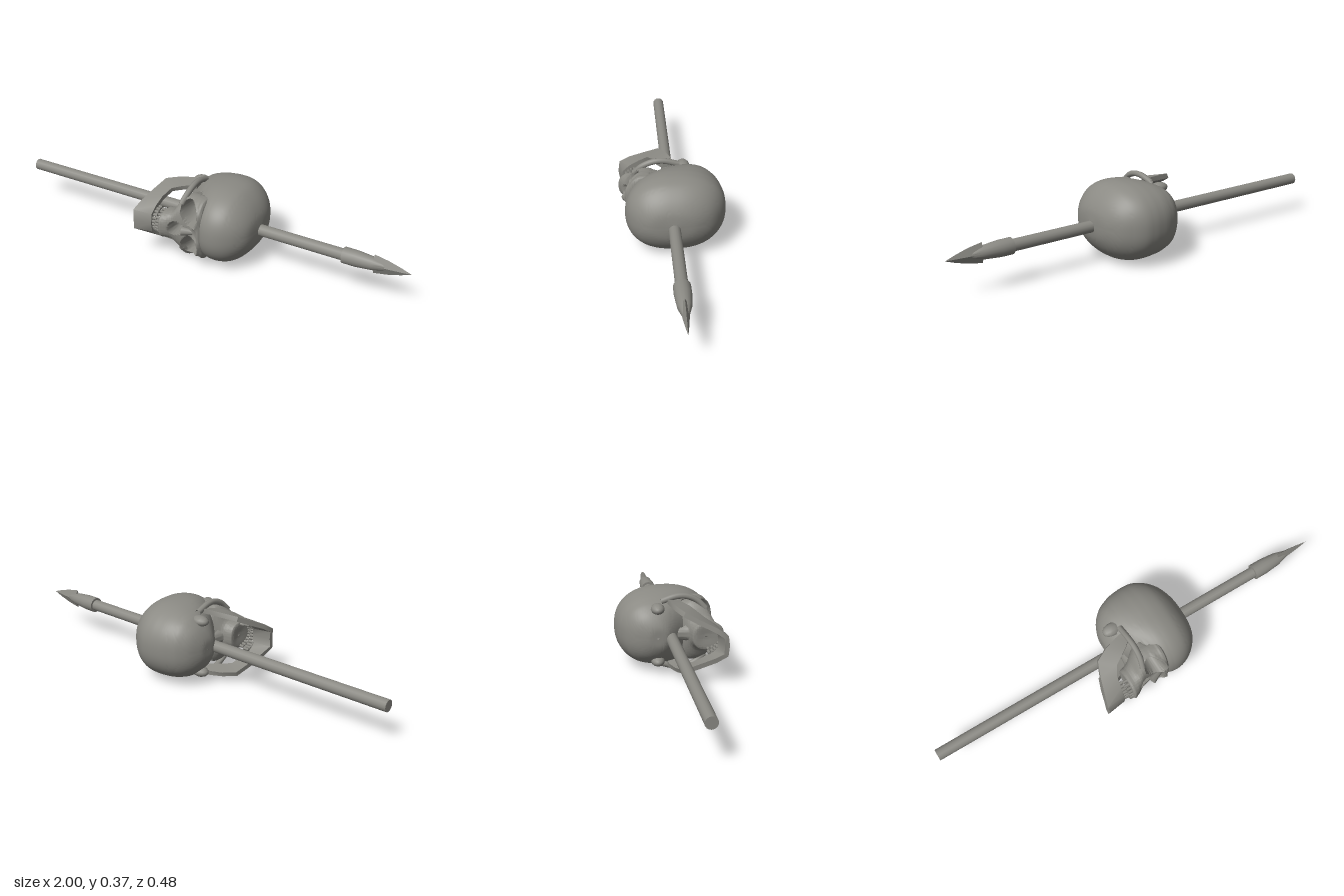
import * as THREE from 'three';
import { toCreasedNormals } from 'three/addons/utils/BufferGeometryUtils.js';

const grey = new THREE.MeshStandardMaterial({ color: 0x8b8a84, side: THREE.DoubleSide });
grey.name = 'weathered grey';

function add(parent, name, geometry) {
  const mesh = new THREE.Mesh(geometry, grey);
  mesh.name = name;
  parent.add(mesh);
  return mesh;
}

function surface(positions, index, crease) {
  const g = new THREE.BufferGeometry();
  g.setAttribute('position', new THREE.Float32BufferAttribute(positions, 3));
  g.setIndex(index);
  g.computeVertexNormals();
  return toCreasedNormals(g, crease);
}

// Smooth loft through rings [height, back z, front z, half width], then a deform rule
function loft(keys, power, rows, cols, deform) {
  const spline = new THREE.CubicInterpolant(
    new Float32Array(keys.map((_, i) => i)), new Float32Array(keys.flat()), 4, new Float32Array(4));
  const soft = v => Math.sign(v) * Math.abs(v) ** power;
  const pos = [], idx = [];
  for (let i = 0; i <= rows; i++) {
    const [y, zb, zf, w] = spline.evaluate(Math.min(i / rows * (keys.length - 1), keys.length - 1.0001));
    for (let j = 0; j < cols; j++) {
      const a = j / cols * Math.PI * 2;
      const p = new THREE.Vector3(w * soft(Math.sin(a)), y, (zb + zf) / 2 + (zf - zb) / 2 * soft(Math.cos(a)));
      deform(p);
      pos.push(p.x, p.y, p.z);
      if (i < rows) {
        const b = i * cols + j, c = i * cols + (j + 1) % cols;
        idx.push(b, c, c + cols, b, c + cols, b + cols);
      }
    }
  }
  return surface(pos, idx, 0.8);
}

// Press the eye sockets and nose opening into the front, and raise the brow
function carve(p) {
  if (p.z < 0.07) return;
  const ax = Math.abs(p.x);
  const eye = ((ax - 0.083) / 0.056) ** 2 + ((p.y - 0.022 + (ax - 0.083) * 0.2) / 0.046) ** 2;
  const nose = (p.x / (0.03 - (p.y + 0.035) * 0.3)) ** 2 + ((p.y + 0.037) / 0.036) ** 2;
  if (eye < 1) p.z = Math.max(0.06, p.z - 0.1 * Math.min(1, (1 - eye) * 2.2));
  else if (eye < 1.7 && p.y > 0.03) p.z += 0.008 * Math.sin((eye - 1) / 0.7 * Math.PI);
  if (nose < 1) p.z -= 0.07 * Math.min(1, (1 - nose) * 2.5);
}

// Jaw: rectangular sections swept from one hinge round the chin to the other
function jawGeometry() {
  // lateral x, top y, top z, bottom y, bottom z
  const half = [
    [0, -0.158, 0.222, -0.245, 0.235], [0.045, -0.158, 0.215, -0.25, 0.228],
    [0.075, -0.155, 0.185, -0.236, 0.18], [0.105, -0.148, 0.14, -0.215, 0.11],
    [0.135, -0.125, 0.1, -0.19, 0.045], [0.145, -0.09, 0.08, -0.13, 0.015],
    [0.15, -0.055, 0.058, -0.07, -0.003], [0.15, -0.03, 0.035, -0.03, -0.012]];
  const path = [...half.slice(1).reverse().map(([x, ...r]) => [-x, ...r]), ...half];
  const pos = [], idx = [];
  path.forEach(([x, ty, tz, by, bz], i) => {
    const a = path[Math.max(i - 1, 0)], b = path[Math.min(i + 1, path.length - 1)];
    const dx = b[0] - a[0], dz = (b[2] + b[4] - a[2] - a[4]) / 2, l = Math.hypot(dx, dz);
    const nx = dz / l * 0.022, nz = -dx / l * 0.022;
    const flare = x * 0.08;
    pos.push(x, ty, tz, x + flare, by, bz, x + flare + nx, by, bz + nz, x + nx, ty, tz + nz);
    if (i) for (let k = 0; k < 4; k++) {
      const p = (i - 1) * 4 + k, q = (i - 1) * 4 + (k + 1) % 4;
      idx.push(p, q, q + 4, p, q + 4, p + 4);
    }
  });
  const e = pos.length / 3 - 4;
  idx.push(0, 2, 1, 0, 3, 2, e, e + 1, e + 2, e, e + 2, e + 3);
  return surface(pos, idx, 0.7);
}

// A curved row of teeth
function teeth(parent, name, y, height, width, depth) {
  const row = new THREE.Group();
  row.name = name;
  for (let i = 0; i < 12; i++) {
    const a = (i - 5.5) / 5.5 * 1.4;
    const tooth = add(row, 'tooth', new THREE.CylinderGeometry(0.0085, 0.007, height, 6));
    tooth.position.set(width * Math.sin(a), y, 0.15 + depth * Math.cos(a));
    tooth.rotation.y = a;
  }
  parent.add(row);
}

function buildSkull() {
  const skull = new THREE.Group();
  skull.name = 'skull';

  add(skull, 'cranium', loft([
    [-0.108, -0.07, -0.06, 0.002], [-0.105, -0.11, -0.02, 0.05], [-0.08, -0.165, 0.015, 0.1],
    [-0.04, -0.205, 0.06, 0.138], [0, -0.225, 0.115, 0.158], [0.03, -0.235, 0.15, 0.168],
    [0.06, -0.24, 0.185, 0.175], [0.1, -0.243, 0.208, 0.18], [0.15, -0.237, 0.212, 0.178],
    [0.2, -0.21, 0.195, 0.162], [0.245, -0.165, 0.158, 0.122], [0.275, -0.1, 0.105, 0.072],
    [0.285, -0.03, 0.03, 0.025], [0.286, 0, 0.001, 0.001]], 0.86, 72, 96, carve));

  // Cheeks, orbit rims and upper jaw
  add(skull, 'face', loft([
    [-0.108, 0.15, 0.16, 0.002], [-0.112, 0.1, 0.232, 0.06], [-0.09, 0.09, 0.23, 0.066],
    [-0.065, 0.08, 0.215, 0.078], [-0.04, 0.06, 0.2, 0.118], [-0.015, 0.04, 0.193, 0.142],
    [0.02, 0.04, 0.19, 0.146], [0.055, 0.04, 0.2, 0.147], [0.085, 0.04, 0.205, 0.14],
    [0.1, 0.08, 0.15, 0.05]], 0.8, 72, 112, carve));

  // Ridge of the nose between the sockets
  const bridge = add(skull, 'noseBridge', new THREE.CylinderGeometry(0.012, 0.022, 0.055, 8));
  bridge.position.set(0, 0.022, 0.197);
  bridge.rotation.x = -0.3;

  for (const s of [-1, 1]) {
    const arch = new THREE.CatmullRomCurve3([
      [0.15, -0.025, -0.04], [0.17, -0.022, 0.03], [0.168, -0.02, 0.08], [0.145, -0.022, 0.13], [0.11, -0.03, 0.165]
    ].map(([x, y, z]) => new THREE.Vector3(s * x, y, z)));
    add(skull, 'cheekArch', new THREE.TubeGeometry(arch, 16, 0.014, 8));
    // Bump of bone behind the hinge
    const bump = add(skull, 'mastoid', new THREE.SphereGeometry(1, 12, 8));
    bump.scale.set(0.025, 0.045, 0.032);
    bump.position.set(s * 0.125, -0.055, -0.06);
  }

  add(skull, 'jaw', jawGeometry());
  teeth(skull, 'upperTeeth', -0.118, 0.03, 0.056, 0.074);
  teeth(skull, 'lowerTeeth', -0.151, 0.03, 0.062, 0.06);

  skull.rotation.z = -Math.PI / 2;
  skull.position.y = 0.183;
  return skull;
}

function buildSpear() {
  const spear = new THREE.Group();
  spear.name = 'spear';
  add(spear, 'shaft', new THREE.CylinderGeometry(0.027, 0.027, 1.72, 16)).position.y = -0.14;

  const lathe = (points, sides) => toCreasedNormals(
    new THREE.LatheGeometry(points.map(([r, y]) => new THREE.Vector2(r, y)), sides), 0.6);
  add(spear, 'socket', lathe(
    [[0.026, 0.692], [0.037, 0.692], [0.037, 0.75], [0.03, 0.825], [0.018, 0.87], [0, 0.93]], 16));
  // Flat four-sided blade
  const blade = add(spear, 'blade', lathe(
    [[0, 0.825], [0.046, 0.83], [0.034, 0.895], [0.018, 0.95], [0, 1]], 4));
  blade.scale.z = 0.42;

  spear.rotation.z = -Math.PI / 2;
  spear.position.y = 0.174;
  return spear;
}

export function createModel() {
  const model = new THREE.Group();
  model.name = 'skullOnSpear';
  model.add(buildSkull(), buildSpear());
  return model;
}
